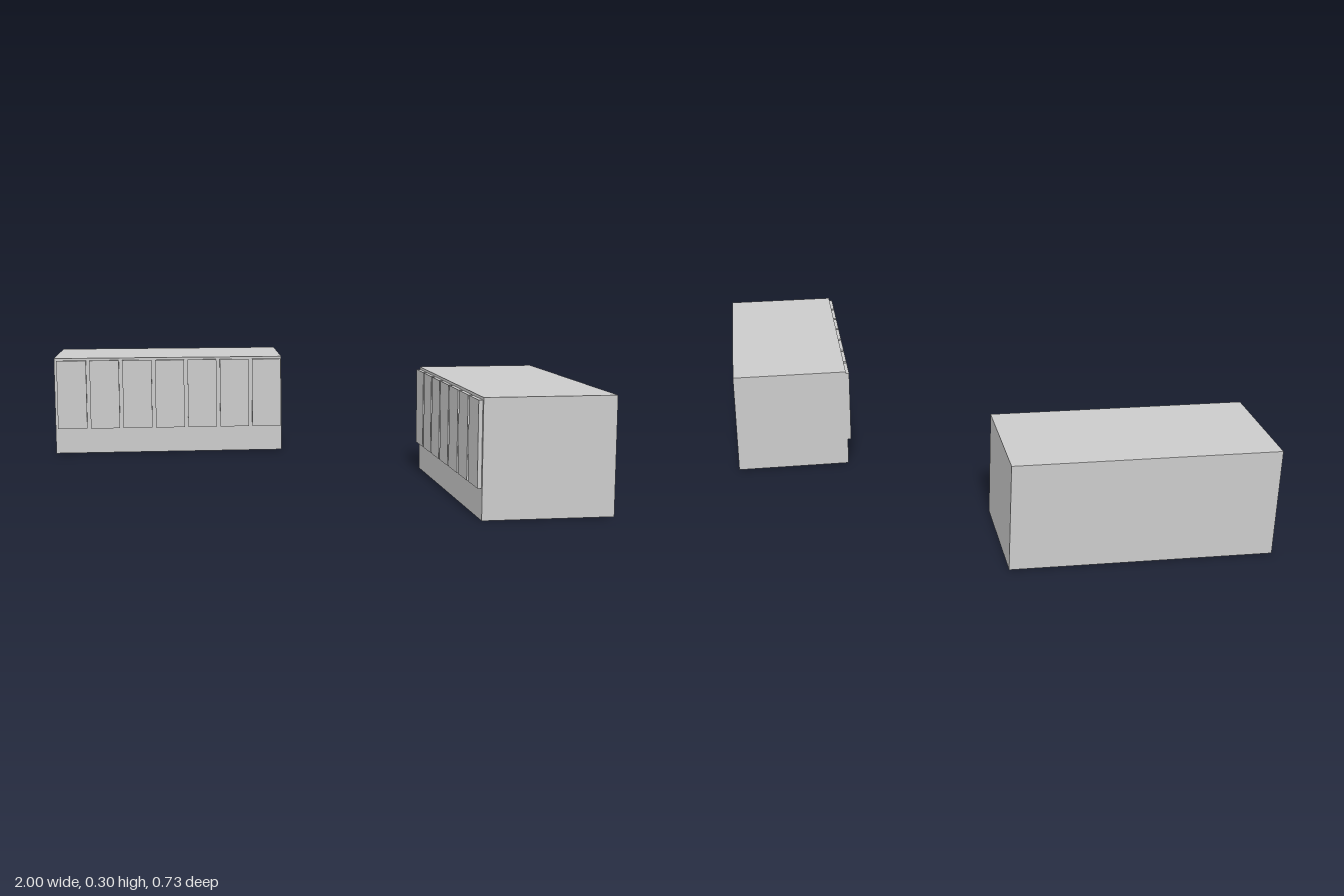
import * as THREE from 'three';

const LENGTH = 0.707, DEPTH = 0.331, HEIGHT = 0.298;
const ANGLE = THREE.MathUtils.degToRad(44.2);
const DOORS = 7, PITCH = 0.101, DOOR_W = 0.09, DOOR_H = 0.213, DOOR_T = 0.01;

const material = new THREE.MeshStandardMaterial({ color: 0xcccccc, flatShading: true });

function box(name, w, h, d, x, y, z) {
  const mesh = new THREE.Mesh(new THREE.BoxGeometry(w, h, d), material);
  mesh.name = name;
  mesh.position.set(x, y, z);
  return mesh;
}

// One garage block; side is +1 (left) or -1 (right), local +z is the door face
function createBlock(side) {
  const block = new THREE.Group();
  block.name = side > 0 ? 'leftGarageBlock' : 'rightGarageBlock';
  block.add(box('building', LENGTH, HEIGHT, DEPTH, 0, HEIGHT / 2, 0));

  // Row of thin door panels, starting from the inner end
  const start = -LENGTH / 2 + 0.003 + DOOR_W / 2;
  for (let i = 0; i < DOORS; i++) {
    block.add(box('door' + (i + 1), DOOR_W, DOOR_H, DOOR_T,
      side * (start + i * PITCH), 0.078 + DOOR_H / 2, DEPTH / 2 + DOOR_T / 2));
  }

  // Door faces turn towards the middle of the forecourt
  block.position.set(side * 0.631, 0, -0.001);
  block.rotation.y = -side * ANGLE;
  return block;
}

export function createModel() {
  const model = new THREE.Group();
  model.name = 'garageBlocks';
  for (const side of [1, -1]) model.add(createBlock(side));
  return model;
}
